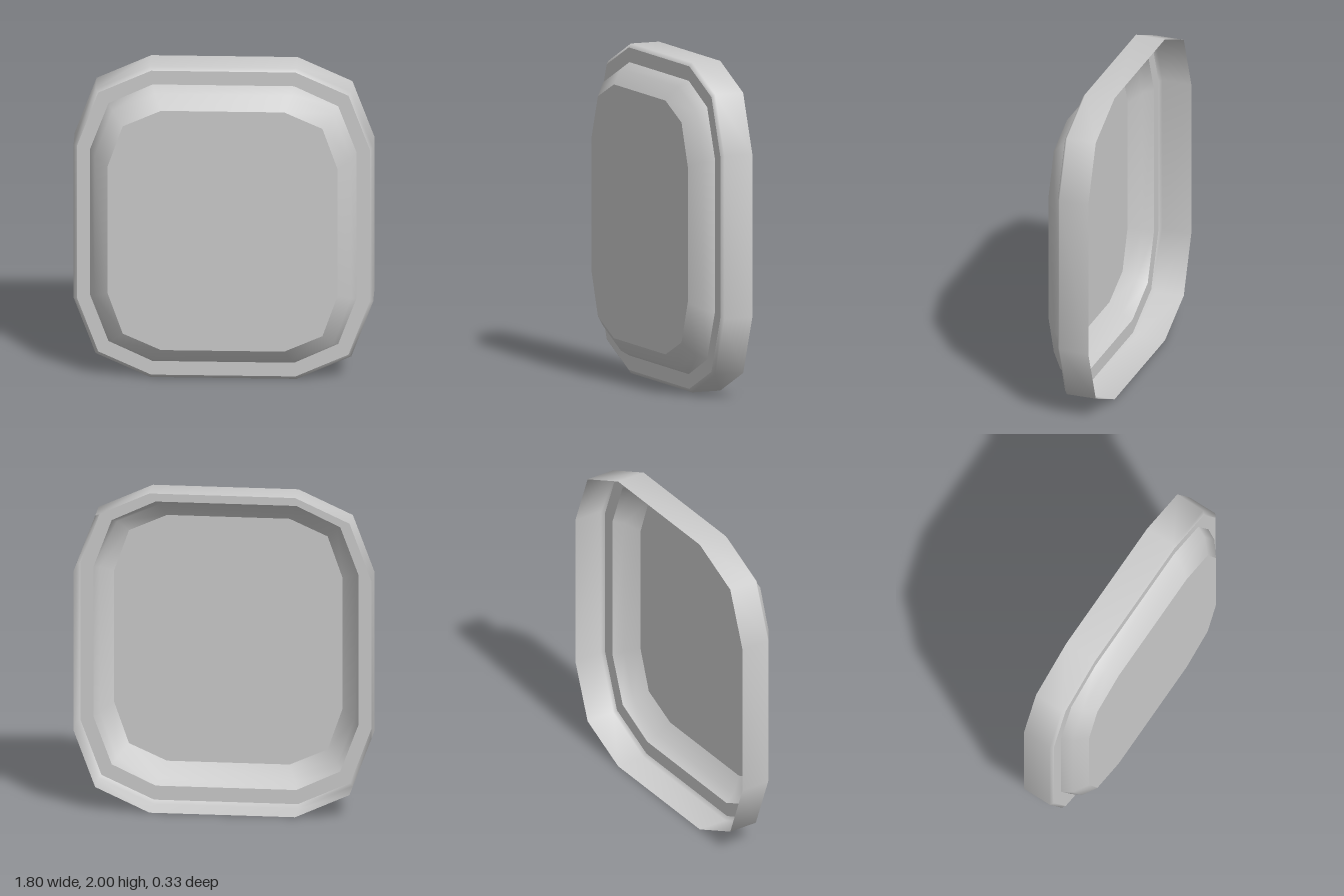
import * as THREE from 'three';

const material = new THREE.MeshStandardMaterial({ color: 0xcccccc, side: THREE.DoubleSide });

// Twelve-sided outline from one quadrant's three corners, counterclockwise
function ring(z, [[ax, ay], [bx, by], [cx, cy]]) {
  const q = [[ax, ay], [bx, by], [cx, cy]];
  const r = [...q].reverse();
  return [
    ...q,
    ...r.map(([x, y]) => [-x, y]),
    ...q.map(([x, y]) => [-x, -y]),
    ...r.map(([x, y]) => [x, -y]),
  ].map(([x, y]) => [x, y + 1, z]);
}

// Smooth skin through successive rings
function band(name, rings) {
  const n = rings[0].length;
  const index = [];
  for (let k = 0; k < rings.length - 1; k++) {
    for (let i = 0; i < n; i++) {
      const a = k * n + i, b = k * n + (i + 1) % n;
      index.push(a, b, b + n, a, b + n, a + n);
    }
  }
  const geometry = new THREE.BufferGeometry();
  geometry.setAttribute('position', new THREE.Float32BufferAttribute(rings.flat(2), 3));
  geometry.setIndex(index);
  geometry.computeVertexNormals();
  const mesh = new THREE.Mesh(geometry, material);
  mesh.name = name;
  return mesh;
}

export function createModel() {
  const group = new THREE.Group();
  group.name = 'panelShell';

  const outer = [[0.9, 0.495], [0.768, 0.85], [0.44, 1]];
  const back = ring(-0.165, outer);
  const shoulder = ring(0.02, outer);
  const rimOuter = ring(0.037, [[0.88, 0.488], [0.752, 0.833], [0.434, 0.978]]);
  const rimInner = ring(0.037, [[0.8, 0.47], [0.69, 0.765], [0.425, 0.89]]);
  const middle = ring(0.1, [[0.77, 0.45], [0.665, 0.74], [0.41, 0.855]]);
  const front = ring(0.165, [[0.69, 0.41], [0.6, 0.667], [0.37, 0.77]]);

  // Outer wall, open at the back, with a small bevel at its front edge
  group.add(band('outerWall', [back, shoulder, rimOuter]));
  // Flat step around the raised centre
  group.add(band('rim', [rimOuter, rimInner]));
  // Sloped sides of the raised centre
  group.add(band('bevel', [rimInner, middle, front]));

  // Flat front panel
  const outline = new THREE.Shape(front.map(([x, y]) => new THREE.Vector2(x, y)));
  const panel = new THREE.Mesh(new THREE.ShapeGeometry(outline), material);
  panel.position.z = 0.165;
  panel.name = 'frontPanel';
  group.add(panel);

  return group;
}
